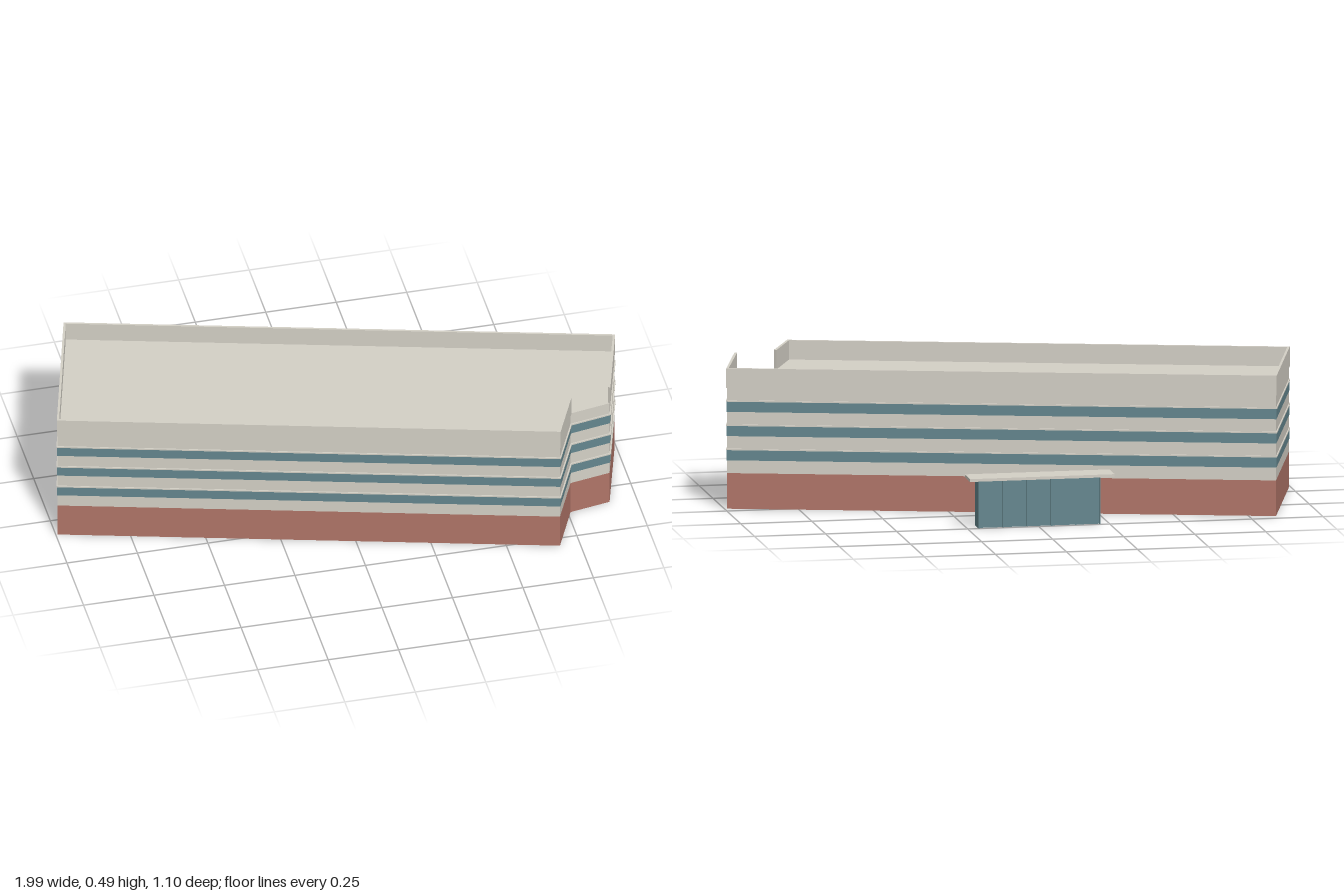
import * as THREE from 'three';

const material = (color) => new THREE.MeshStandardMaterial({ color });
const CREAM = material(0xd4d0c6);
const BRICK = material(0xb07568);
const GLASS = material(0x64868e);

// Outermost plan outline as [x, z]; the edge between the last and first point is the notch
const PLAN = [
  [0.908, 0.34], [0.995, 0.042], [-0.845, -0.463],
  [-0.998, 0.085], [0.682, 0.548], [0.763, 0.367],
].map(([x, z]) => new THREE.Vector2(x, -z));

// Move every edge of the plan inwards by d and re-intersect neighbours
function inset(d) {
  const n = PLAN.length;
  return PLAN.map((p, i) => {
    const a = p.clone().sub(PLAN[(i + n - 1) % n]).normalize();
    const b = PLAN[(i + 1) % n].clone().sub(p).normalize();
    const na = new THREE.Vector2(-a.y, a.x);
    const nb = new THREE.Vector2(-b.y, b.x);
    return p.clone().addScaledVector(na.add(nb), d / (1 + na.dot(nb)));
  });
}

// Upright prism between two heights
function prism(name, points, y0, y1, mat) {
  const geo = new THREE.ExtrudeGeometry(new THREE.Shape(points), { depth: y1 - y0, bevelEnabled: false });
  geo.rotateX(-Math.PI / 2);
  const mesh = new THREE.Mesh(geo, mat);
  mesh.name = name;
  mesh.position.y = y0;
  return mesh;
}

// Box given by its lower and upper corners
function box(name, [x0, y0, z0], [x1, y1, z1], mat) {
  const mesh = new THREE.Mesh(new THREE.BoxGeometry(x1 - x0, y1 - y0, z1 - z0), mat);
  mesh.name = name;
  mesh.position.set((x0 + x1) / 2, (y0 + y1) / 2, (z0 + z1) / 2);
  return mesh;
}

export function createModel() {
  const model = new THREE.Group();
  model.name = 'officeBuilding';

  // Brick ground floor and plain upper walls with the roof deck on top
  const wall = inset(0.007);
  model.add(prism('brickBase', wall, 0, 0.125, BRICK));
  model.add(prism('upperWalls', wall, 0.125, 0.425, CREAM));

  // Ribbon windows, each under a thin projecting ledge
  for (const y of [0.17, 0.255, 0.34]) {
    model.add(prism('windowBand', inset(0.004), y, y + 0.036, GLASS));
    model.add(prism('windowLedge', inset(-0.001), y + 0.036, y + 0.041, CREAM));
  }

  // Parapet runs round the roof but leaves the notch edge open
  const ring = [...inset(0.002), ...inset(0.018).reverse()];
  model.add(prism('parapet', ring, 0.424, 0.493, CREAM));

  // Free-standing entrance behind the building
  const entrance = new THREE.Group();
  entrance.name = 'entrance';
  entrance.add(box('entranceGlass', [-0.22, 0, -0.487], [0.212, 0.167, -0.436], GLASS));
  entrance.add(box('canopy', [-0.257, 0.174, -0.552], [0.252, 0.184, -0.457], CREAM));
  for (let i = 0; i <= 5; i++) {
    const x = -0.216 + i * 0.0848;
    entrance.add(box('mullion', [x - 0.002, 0, -0.495], [x + 0.002, 0.167, -0.486], GLASS));
  }
  model.add(entrance);
  return model;
}
